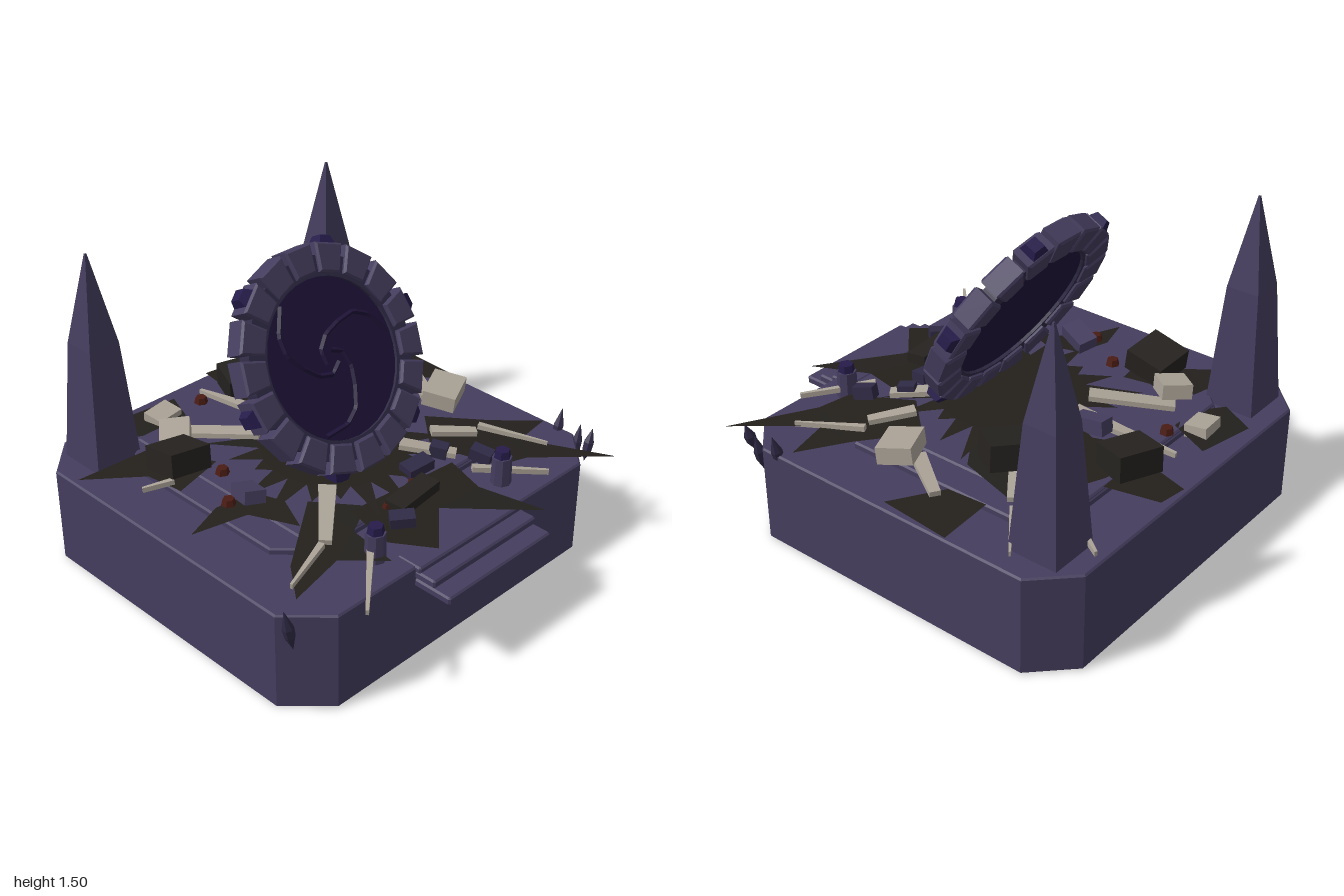
import * as THREE from 'three';

const paint = (color, side = THREE.FrontSide) =>
  new THREE.MeshStandardMaterial({ color, flatShading: true, side });
const stone = paint(0x453d5e), darkStone = paint(0x302a45), voidMat = paint(0x1f1338);
const gemMat = paint(0x261c4a), pale = paint(0xaaa296), char = paint(0x25221f);
const scorch = paint(0x23201c, THREE.DoubleSide), ember = paint(0x4a1c14);

function add(parent, name, geo, mat, x = 0, y = 0, z = 0) {
  const m = new THREE.Mesh(geo, mat);
  m.name = name;
  m.position.set(x, y, z);
  parent.add(m);
  return m;
}

const polygon = pts => new THREE.Shape(pts.map(([x, y]) => new THREE.Vector2(x, y)));

// Slab with cut corners lying on the ground plane, y0 to y1
function slab(x, z0, z1, cut, y0, y1) {
  const pts = [[-x + cut, z0], [x - cut, z0], [x, z0 + cut], [x, z1 - cut],
    [x - cut, z1], [-x + cut, z1], [-x, z1 - cut], [-x, z0 + cut]];
  const b = 0.008;
  const geo = new THREE.ExtrudeGeometry(polygon(pts.map(([a, c]) => [a, -c])), {
    depth: y1 - y0 - 2 * b, bevelThickness: b, bevelSize: b, bevelOffset: -b, bevelSegments: 1 });
  return geo.rotateX(-Math.PI / 2).translate(0, y0 + b, 0);
}

// Flat jagged patch that sinks away from the middle
function patch(pts, lift) {
  const geo = new THREE.ShapeGeometry(polygon(pts.map(([x, z]) => [x, -z]))).rotateX(-Math.PI / 2);
  const p = geo.attributes.position;
  for (let i = 0; i < p.count; i++)
    p.setY(i, 0.58 + lift - 0.08 * Math.hypot(p.getX(i), p.getZ(i)));
  geo.computeVertexNormals();
  return geo;
}

function makePortal() {
  const portal = new THREE.Group();
  portal.name = 'portal';
  portal.position.set(0, 1.0, -0.03);
  portal.rotation.x = -0.49;

  // Dark disc and the band that carries the blocks
  add(portal, 'portalDisc', new THREE.CylinderGeometry(0.39, 0.39, 0.04, 36).rotateX(Math.PI / 2), voidMat);
  const band = new THREE.Shape().absarc(0, 0, 0.46, 0, Math.PI * 2);
  band.holes.push(new THREE.Path().absarc(0, 0, 0.365, 0, Math.PI * 2));
  add(portal, 'ringBand', new THREE.ExtrudeGeometry(band, { depth: 0.07, bevelEnabled: false, curveSegments: 18 }),
    darkStone, 0, 0, -0.035);

  // Wedge blocks around the ring
  const wedge = new THREE.ExtrudeGeometry(
    polygon([[-0.048, 0.388], [0.048, 0.388], [0.066, 0.502], [-0.066, 0.502]]),
    { depth: 0.09, bevelThickness: 0.01, bevelSize: 0.01, bevelSegments: 1 }).translate(0, 0, -0.045);
  for (let i = 0; i < 18; i++)
    add(portal, 'ringBlock', wedge, stone).rotation.z = i * Math.PI / 9;

  // Gem studs on the outer rim
  const stud = new THREE.CylinderGeometry(0.04, 0.065, 0.045, 4).rotateY(Math.PI / 4).translate(0, 0.525, 0);
  for (let i = 0; i < 6; i++)
    add(portal, 'rimGem', stud, gemMat).rotation.z = -(20 + 60 * i) * Math.PI / 180;

  // Three spiral ridges on the disc face
  const arm = new THREE.CurvePath();
  const pts = [[0.35, 0], [0.30, 22], [0.25, 38], [0.17, 55], [0.11, 85], [0.07, 130], [0.04, 200]].map(([r, a]) =>
    new THREE.Vector3(r * Math.cos(a * Math.PI / 180), r * Math.sin(a * Math.PI / 180), 0.02));
  for (let i = 1; i < pts.length; i++) arm.add(new THREE.LineCurve3(pts[i - 1], pts[i]));
  const ridge = new THREE.TubeGeometry(arm, 24, 0.012, 4);
  for (let i = 0; i < 3; i++)
    add(portal, 'spiralRidge', ridge, voidMat).rotation.z = i * Math.PI * 2 / 3;
  return portal;
}

export function createModel() {
  const model = new THREE.Group();
  model.name = 'ruinedPortal';

  // Plinth, raised floor and front steps
  add(model, 'plinth', slab(0.96, -1, 0.81, 0.18, 0, 0.48), stone);
  add(model, 'raisedFloor', slab(0.7, -0.74, 0.47, 0.15, 0.47, 0.51), stone);
  add(model, 'innerFloor', slab(0.56, -0.735, 0.465, 0.01, 0.5, 0.52), stone);
  [[0.38, 0.42, 1.0], [0.42, 0.46, 0.915], [0.45, 0.485, 0.835]].forEach(([y0, y1, z]) =>
    add(model, 'step', slab(0.33, 0.7, z, 0.008, y0, y1), stone));

  // Pairs: spires at the back, short posts at the front
  for (const s of [-1, 1]) {
    const spire = new THREE.Group();
    spire.name = 'spire';
    spire.position.set(s * 0.72, 0, -0.78);
    const q = Math.SQRT1_2 * 2;
    add(spire, 'spireBase', new THREE.CylinderGeometry(0.08 * q, 0.122 * q, 0.6, 4, 1, true).rotateY(Math.PI / 4), stone, 0, 0.77, 0);
    add(spire, 'spireTip', new THREE.CylinderGeometry(0.006, 0.08 * q, 0.43, 4).rotateY(Math.PI / 4), stone, 0, 1.285, 0);
    model.add(spire);
    add(model, 'post', new THREE.CylinderGeometry(0.045, 0.048, 0.15, 8), stone, s * 0.405, 0.54, 0.65);
    add(model, 'postCap', new THREE.CylinderGeometry(0.034, 0.04, 0.036, 6), gemMat, s * 0.405, 0.633, 0.65);
  }

  model.add(makePortal());

  // Scorched patches of ground
  [
    [[0.08, -0.99], [0.22, -0.97], [0.3, -0.72], [0.42, -0.6], [0.1, -0.4], [0, -0.6]],
    [[-0.5, -0.95], [-0.2, -0.9], [-0.28, -0.7], [-0.45, -0.7], [-0.58, -0.78]],
    [[-0.94, -0.68], [-0.55, -0.62], [-0.45, -0.3], [-0.7, -0.25], [-0.72, -0.45]],
    [[0.7, -0.43], [0.96, -0.43], [0.94, -0.08], [0.72, -0.24]],
    [[0.15, -0.3], [0.4, -0.5], [0.62, -0.5], [0.55, -0.2], [0.4, -0.1]],
    [[-0.87, 0.02], [-0.68, -0.04], [-0.5, 0], [-0.45, 0.15], [-0.52, 0.32], [-0.62, 0.1]],
    [[-0.38, 0.22], [-0.72, 0.47], [-0.84, 0.63], [-0.56, 0.58], [-0.4, 0.74], [-0.38, 0.5], [-0.22, 0.42]],
    [[-0.3, 0.4], [-0.33, 0.65], [-0.2, 0.82], [0, 0.64], [0.2, 0.82], [0.35, 0.95], [0.25, 0.65], [0.3, 0.45]],
    [[0.5, 0.1], [0.72, 0.32], [0.92, 0.48], [0.7, 0.52], [0.94, 0.89], [0.6, 0.64], [0.45, 0.6], [0.32, 0.3]]
  ].forEach((pts, i) => add(model, 'scorchPatch', patch(pts, 0.002 * (i % 3)), scorch));

  // Jagged burst under the ring
  const burst = [];
  for (let i = 0; i < 44; i++) {
    const a = i / 44 * Math.PI * 2, r = i % 2 ? 0.34 : 0.5 + 0.1 * Math.sin(i * 2.3);
    burst.push([r * Math.cos(a), r * Math.sin(a)]);
  }
  add(model, 'scorchBurst', patch(burst, 0.008), scorch);

  // Splintered beams: inner end, outer end, width, taper
  [
    [-0.18, -0.3, -0.4, -0.62, 0.08, 0.9], [-0.03, -0.33, -0.08, -0.84, 0.08, 0.2],
    [0.42, -0.56, 0.66, -0.96, 0.06, 0.2], [0.3, -0.28, 0.62, -0.51, 0.07, 0.8],
    [0.66, -0.54, 0.88, -0.7, 0.03, 0.3], [-0.27, 0.23, -0.53, 0.48, 0.08, 0.7],
    [-0.38, 0.6, -0.7, 0.89, 0.035, 0.4], [-0.55, 0.48, -0.81, 0.57, 0.03, 0.4],
    [0.2, 0.22, 0.35, 0.43, 0.07, 0.8], [0.4, 0.23, 0.57, 0.36, 0.06, 0.8],
    [0.32, 0.55, 0.58, 0.78, 0.035, 0.4], [0.62, 0.33, 0.76, 0.63, 0.03, 0.3],
    [-0.68, -0.32, -0.81, -0.38, 0.025, 0.5], [0.64, 0, 0.79, -0.23, 0.07, 0.7]
  ].forEach(([x0, z0, x1, z1, w, taper]) => {
    const a = new THREE.Vector3(x0, 0.61 - 0.1 * Math.hypot(x0, z0), z0);
    const b = new THREE.Vector3(x1, 0.61 - 0.1 * Math.hypot(x1, z1), z1);
    const geo = new THREE.BoxGeometry(w, 0.025, a.distanceTo(b));
    const p = geo.attributes.position;
    for (let i = 0; i < p.count; i++) if (p.getZ(i) > 0) p.setX(i, p.getX(i) * taper);
    const beam = add(model, 'brokenBeam', geo, pale);
    beam.position.copy(a).lerp(b, 0.5);
    beam.lookAt(b);
  });

  // Rubble: x, y, z, width, height, depth, turn, tilt, material
  [
    [-0.47, 0.58, -0.56, 0.14, 0.07, 0.15, -0.7, 0.15, pale], [-0.35, 0.52, -0.8, 0.14, 0.06, 0.11, 0.1, 0.1, pale],
    [0.68, 0.59, 0.06, 0.2, 0.08, 0.16, 0.45, 0.12, pale], [0.11, 0.57, -0.73, 0.22, 0.12, 0.18, -0.35, 0.1, char],
    [-0.6, 0.6, -0.38, 0.21, 0.11, 0.2, -0.05, -0.2, char], [0.42, 0.62, -0.36, 0.28, 0.12, 0.2, -0.6, 0.15, char],
    [0.01, 0.58, -0.46, 0.08, 0.07, 0.16, 0, 0.15, stone], [-0.56, 0.59, 0.04, 0.1, 0.06, 0.15, -0.3, -0.25, stone],
    [0.13, 0.57, 0.39, 0.14, 0.05, 0.08, -0.1, 0.1, darkStone], [-0.2, 0.56, 0.61, 0.11, 0.05, 0.07, -0.7, 0.1, darkStone],
    [0.42, 0.56, 0.52, 0.06, 0.06, 0.1, 0.35, 0.2, darkStone], [0.3, 0.57, 0.37, 0.06, 0.06, 0.08, 0.5, 0.1, darkStone],
    [-0.05, 0.57, 0.53, 0.26, 0.05, 0.1, 0.1, 0.05, char]
  ].forEach(([x, y, z, w, h, d, turn, tilt, mat]) =>
    add(model, 'rubbleBlock', new THREE.BoxGeometry(w, h, d), mat, x, y, z).rotation.set(tilt, turn, tilt * 0.6, 'YXZ'));

  // Embers
  [[-0.17, -0.73], [-0.5, -0.2], [-0.64, 0], [0.02, 0.47], [-0.18, 0.5]].forEach(([x, z], i) =>
    add(model, 'ember', new THREE.CylinderGeometry(0.026, 0.034, 0.03, 6), ember, x, 0.565, z).scale.setScalar(i === 4 ? 0.6 : 1));

  // Thorns on the front corners: x, y, z, half height, lean
  [[-0.95, 0.44, 0.7, 0.11, 0.22], [0.95, 0.44, 0.66, 0.1, -0.2], [0.945, 0.48, 0.55, 0.1, -0.25], [0.93, 0.48, 0.74, 0.08, -0.3]]
    .forEach(([x, y, z, h, lean]) => {
      const thorn = new THREE.LatheGeometry([[0.001, -h], [0.024, -h * 0.3], [0.026, h * 0.15], [0.001, h]]
        .map(([r, v]) => new THREE.Vector2(r, v)), 6);
      add(model, 'thorn', thorn, darkStone, x, y, z).rotation.z = lean;
    });
  return model;
}
